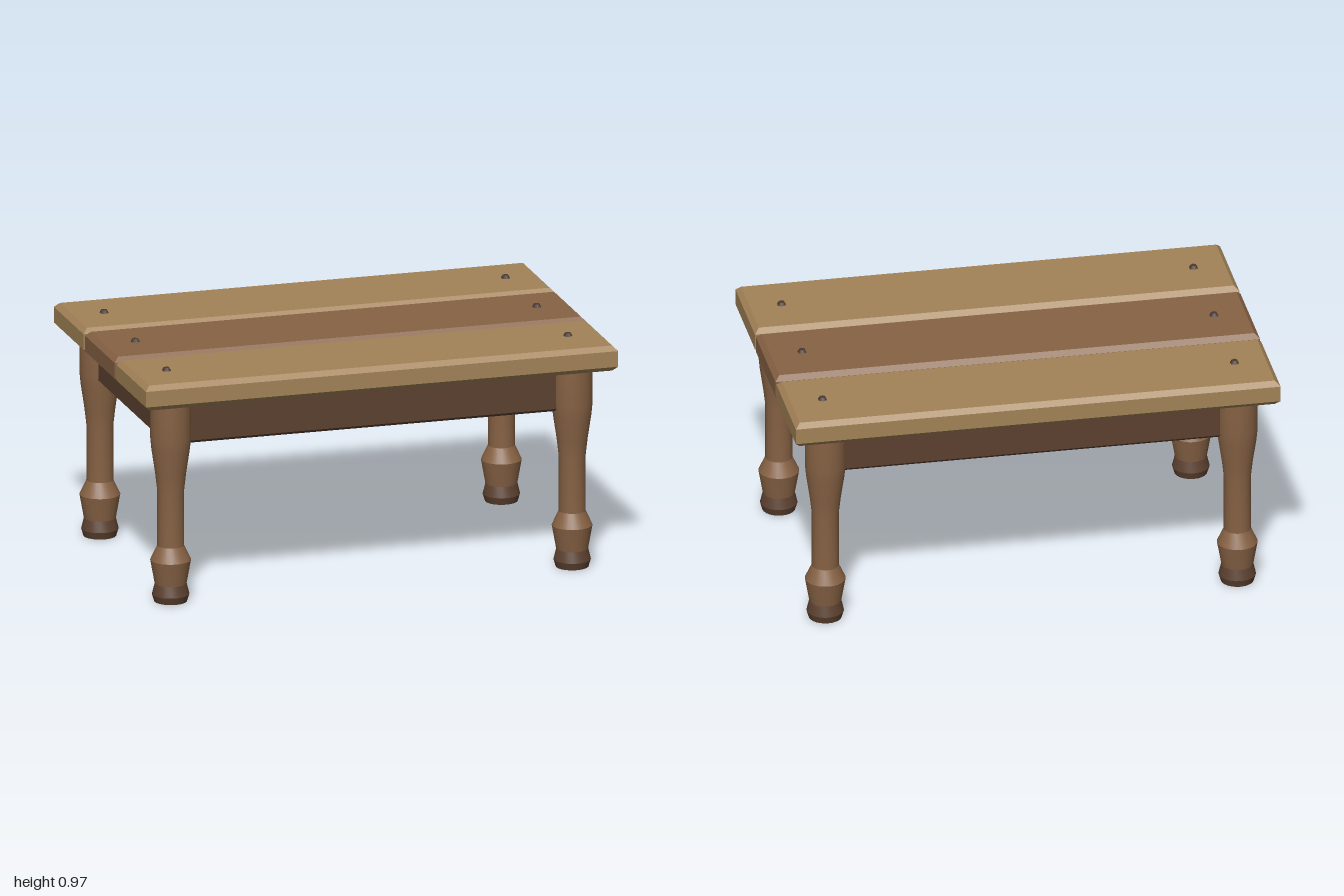
import * as THREE from 'three';
import { toCreasedNormals } from 'three/addons/utils/BufferGeometryUtils.js';
import { ConvexGeometry } from 'three/addons/geometries/ConvexGeometry.js';

const mat = (name, color) => {
  const m = new THREE.MeshStandardMaterial({ color });
  m.name = name;
  return m;
};

// Box whose top and bottom edges are chamfered by c
function chamferedBox(w, h, d, c) {
  const points = [];
  for (const sx of [-1, 1]) for (const sy of [-1, 1]) for (const sz of [-1, 1]) {
    points.push(new THREE.Vector3(sx * w / 2, sy * (h / 2 - c), sz * d / 2));
    points.push(new THREE.Vector3(sx * (w / 2 - c), sy * h / 2, sz * (d / 2 - c)));
  }
  return new ConvexGeometry(points);
}

// Turned profile given as [radius, y] pairs from the bottom up
function turned(profile) {
  const lathe = new THREE.LatheGeometry(profile.map(([r, y]) => new THREE.Vector2(r, y)), 24);
  return toCreasedNormals(lathe, 0.3);
}

export function createModel() {
  const model = new THREE.Group();
  model.name = 'table';
  const lightWood = mat('light wood', 0xa38358);
  const midWood = mat('medium wood', 0x876244);
  const darkWood = mat('dark wood', 0x5c4130);
  const iron = mat('dark iron', 0x49382f);

  const add = (name, geometry, material, x, y, z) => {
    const mesh = new THREE.Mesh(geometry, material);
    mesh.name = name;
    mesh.position.set(x, y, z);
    model.add(mesh);
  };

  // Three top planks
  const plank = chamferedBox(2, 0.106, 0.412, 0.02);
  add('frontPlank', plank, lightWood, 0, 0.902, 0.432);
  add('middlePlank', plank, midWood, 0, 0.902, 0);
  add('backPlank', plank, lightWood, 0, 0.902, -0.432);

  // Apron rails between the legs
  const longRail = chamferedBox(1.7, 0.19, 0.06, 0.012);
  const shortRail = chamferedBox(0.06, 0.19, 0.98, 0.012);
  const leg = turned([
    [0.065, 0.075], [0.083, 0.175], [0.055, 0.235], [0.055, 0.47], [0.063, 0.54],
    [0.078, 0.64], [0.083, 0.69], [0.083, 0.852], [0, 0.852],
  ]);
  const foot = turned([[0, 0], [0.067, 0], [0.076, 0.03], [0.065, 0.075]]);
  const bolt = new THREE.CylinderGeometry(0.012, 0.02, 0.014, 6);

  for (const s of [-1, 1]) {
    add(s > 0 ? 'frontRail' : 'backRail', longRail, darkWood, 0, 0.76, s * 0.49);
    add(s > 0 ? 'leftRail' : 'rightRail', shortRail, darkWood, s * 0.85, 0.76, 0);

    // Turned legs with dark feet
    for (const t of [-1, 1]) {
      const corner = (t > 0 ? 'front' : 'back') + (s > 0 ? 'Left' : 'Right');
      add(corner + 'Leg', leg, midWood, s * 0.85, 0, t * 0.49);
      add(corner + 'Foot', foot, darkWood, s * 0.85, 0, t * 0.49);
    }

    // Bolt heads, one per plank end
    for (const z of [-0.432, 0, 0.432]) add('boltHead', bolt, iron, s * 0.85, 0.961, z);
  }
  return model;
}
